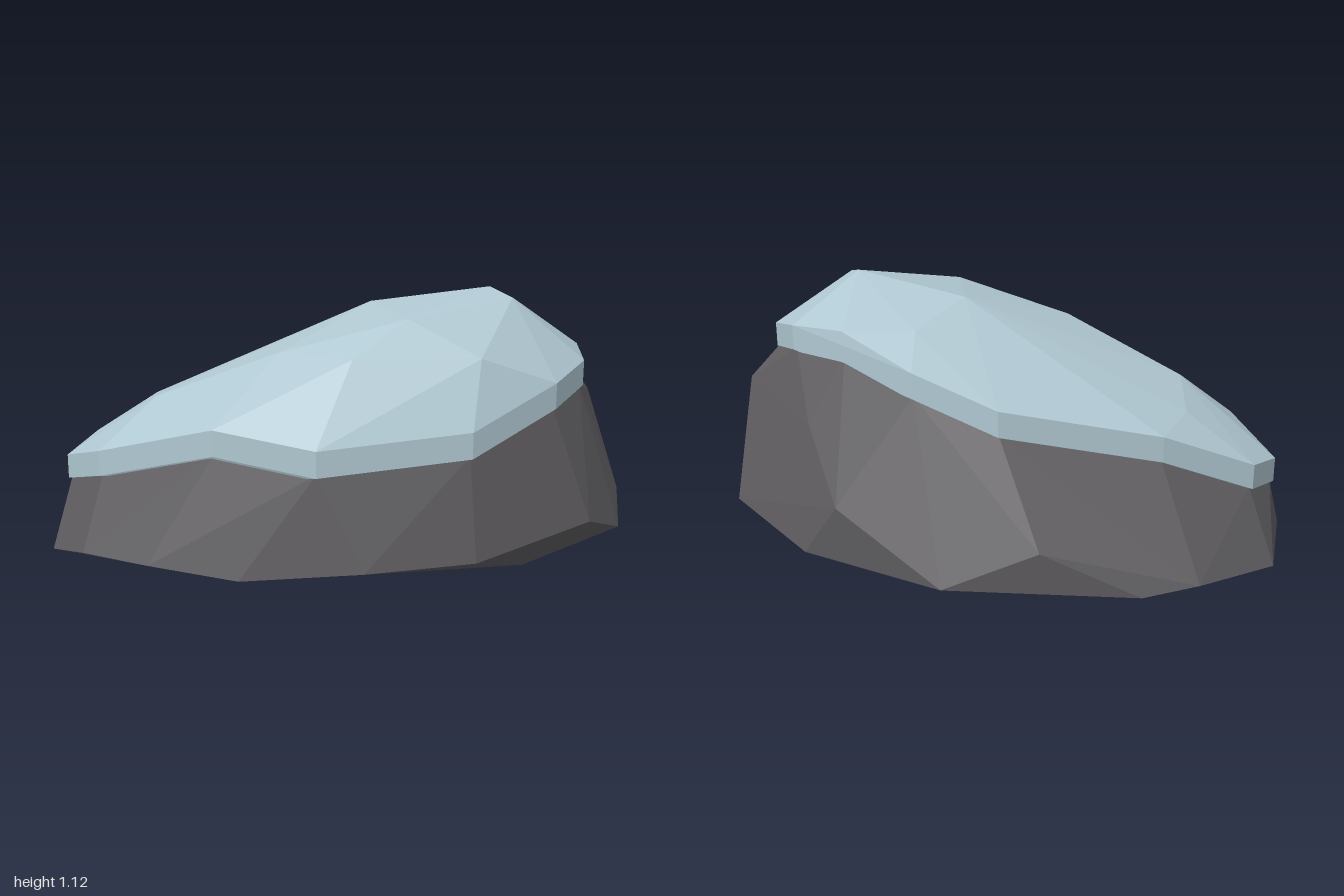
import * as THREE from 'three';
import { ConvexGeometry } from 'three/addons/geometries/ConvexGeometry.js';

const toVectors = (points) => points.map(([x, y, z]) => new THREE.Vector3(x, y, z));

function facetedMesh(name, points, material) {
  const mesh = new THREE.Mesh(new ConvexGeometry(toVectors(points)), material);
  mesh.name = name;
  return mesh;
}

export function createModel() {
  const stone = new THREE.MeshStandardMaterial({ color: 0x5e5c5f, flatShading: true });
  stone.name = 'dark stone';
  const snow = new THREE.MeshStandardMaterial({ color: 0xb0c8d2, flatShading: true });
  snow.name = 'pale snow';

  // Wavy rim of the cap, running round from the low end
  const rim = [
    [-0.86, 0.48, 0.53], [-0.775, 0.43, 0.75], [-0.45, 0.52, 0.83], [0.05, 0.66, 0.69],
    [0.41, 0.61, 0.52], [0.78, 0.66, 0.08], [0.89, 0.80, -0.30], [0.86, 0.85, -0.55],
    [0.75, 0.89, -0.68], [0.46, 0.95, -0.74], [0.20, 0.97, -0.66], [-0.16, 0.876, -0.57],
    [-0.44, 0.767, -0.38], [-0.74, 0.64, 0.16],
  ];
  const lip = rim.map(([x, y, z]) => [x, y - 0.1, z]);

  // Dome of the cap above the rim
  const dome = [
    [0.50, 1.125, -0.41], [0.635, 1.095, -0.37], [0.09, 1.055, -0.16], [0.46, 1.04, 0.06],
    [0.39, 0.91, 0.30], [0.08, 0.91, 0.36], [-0.38, 0.71, 0.59], [-0.62, 0.66, 0.39],
    [0.73, 0.91, -0.03], [0.0, 0.98, -0.45],
  ];

  // Shoulder of the rock, tucked just inside the cap
  const shoulder = lip.map(([x, y, z]) => [x * 0.985, y + 0.01, z * 0.985]);

  // Widest outline of the rock
  const waist = [
    [-1, 0.15, 0.12], [-1, 0.11, 0.52], [-0.69, 0.08, 0.90], [-0.40, 0.15, 0.96],
    [-0.09, 0.16, 0.90], [0.22, 0.13, 0.73], [0.58, 0.17, 0.45], [0.83, 0.18, 0.11],
    [1, 0.25, -0.41], [0.975, 0.15, -0.70], [0.90, 0.28, -0.81], [0.62, 0.20, -0.96],
    [0.09, 0.155, -0.92], [-0.07, 0.38, -0.86], [-0.47, 0.15, -0.66], [-0.69, 0.30, -0.38],
    [-0.91, 0.125, -0.08],
  ];

  // Bulges on the rear face
  const bulges = [[0.74, 0.68, -0.81], [0.73, 0.50, -0.85], [0.22, 0.62, -0.81]];

  // Shallow faceted underside
  const underside = [
    [-0.43, 0.005, 0.15], [-0.22, 0, 0.28], [0.10, 0, 0.22], [0.15, 0, -0.25],
    [0.0, 0.003, -0.37], [-0.32, 0.005, -0.2], [0.62, 0.03, -0.42], [0.80, 0.065, -0.25],
    [0.74, 0.08, -0.85],
  ];

  const model = new THREE.Group();
  model.name = 'snowyRock';
  model.add(facetedMesh('rock', [...shoulder, ...waist, ...bulges, ...underside], stone));
  model.add(facetedMesh('snowCap', [...rim, ...lip, ...dome], snow));
  return model;
}
